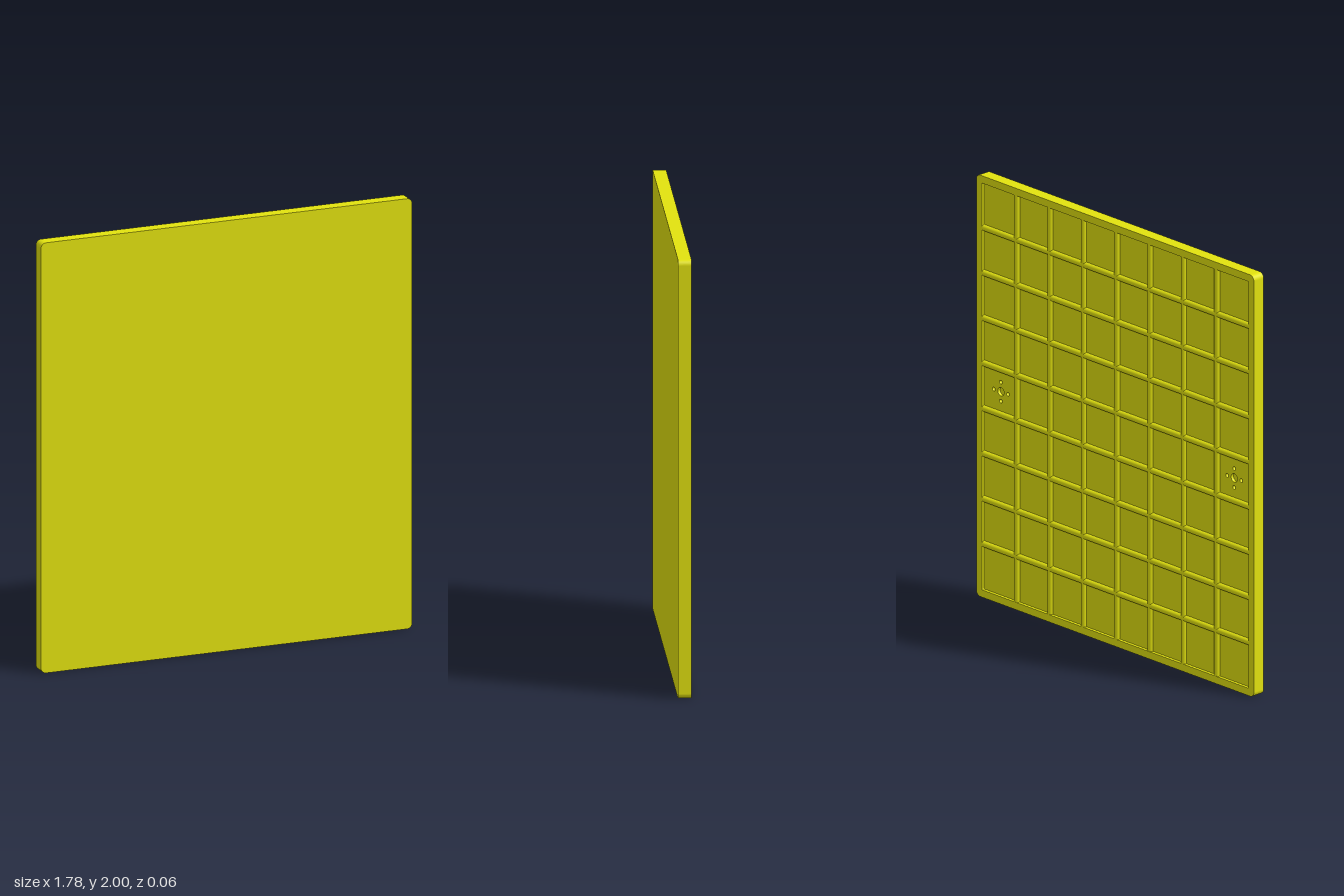
import * as THREE from 'three';

const W = 1.78, H = 2, T = 0.06;       // outer size
const COLS = 8, ROWS = 9;              // back grid
const RIM = 0.035, STEP = 0.015;       // rim width and recess depth
const IW = W - 2 * RIM, IH = H - 2 * RIM;

const material = new THREE.MeshStandardMaterial({ color: 0xe2e20f });

function roundedRect(w, h, r, Type = THREE.Shape) {
  const s = new Type(), x = w / 2, y = h / 2;
  s.moveTo(-x + r, -y);
  s.lineTo(x - r, -y);
  s.absarc(x - r, -y + r, r, -Math.PI / 2, 0);
  s.lineTo(x, y - r);
  s.absarc(x - r, y - r, r, 0, Math.PI / 2);
  s.lineTo(-x + r, y);
  s.absarc(-x + r, y - r, r, Math.PI / 2, Math.PI);
  s.lineTo(-x, -y + r);
  s.absarc(-x + r, -y + r, r, Math.PI, Math.PI * 1.5);
  return s;
}

function circle(x, y, r) {
  return new THREE.Path().absarc(x, y, r, 0, Math.PI * 2);
}

export function createModel() {
  const group = new THREE.Group();
  const add = (name, geometry, x = 0, y = H / 2, z = 0) => {
    const mesh = new THREE.Mesh(geometry, material);
    mesh.name = name;
    mesh.position.set(x, y, z);
    group.add(mesh);
    return mesh;
  };
  const slab = (shape, depth) =>
    new THREE.ExtrudeGeometry(shape, { depth, bevelEnabled: false, curveSegments: 12 });

  // Smooth front plate
  add('frontPlate', slab(roundedRect(W, H, 0.025), T / 2));

  // Recessed back floor with two blind fixing-hole patterns
  const floor = roundedRect(W, H, 0.025);
  for (const side of [-1, 1]) {
    const cx = side * (IW / 2 - IW / COLS / 2);
    floor.holes.push(circle(cx, 0, 0.02));
    for (let i = 0; i < 4; i++) {
      const a = i * Math.PI / 2;
      floor.holes.push(circle(cx + 0.045 * Math.cos(a), 0.045 * Math.sin(a), 0.009));
    }
  }
  add('backFloor', slab(floor, T / 2 - STEP), 0, H / 2, -T / 2 + STEP);

  // Raised rim around the back
  const rim = roundedRect(W, H, 0.025);
  rim.holes.push(roundedRect(IW, IH, 0.004, THREE.Path));
  add('backRim', slab(rim, STEP), 0, H / 2, -T / 2);

  // Half-round ribs dividing the back into cells, flush with the rim
  const z = -T / 2 + STEP;
  const upright = new THREE.CylinderGeometry(STEP, STEP, IH, 20);
  const across = new THREE.CylinderGeometry(STEP, STEP, IW, 20).rotateZ(Math.PI / 2);
  for (let i = 1; i < COLS; i++) add('verticalRib', upright, -IW / 2 + i * IW / COLS, H / 2, z);
  for (let j = 1; j < ROWS; j++) add('horizontalRib', across, 0, RIM + j * IH / ROWS, z);

  return group;
}
